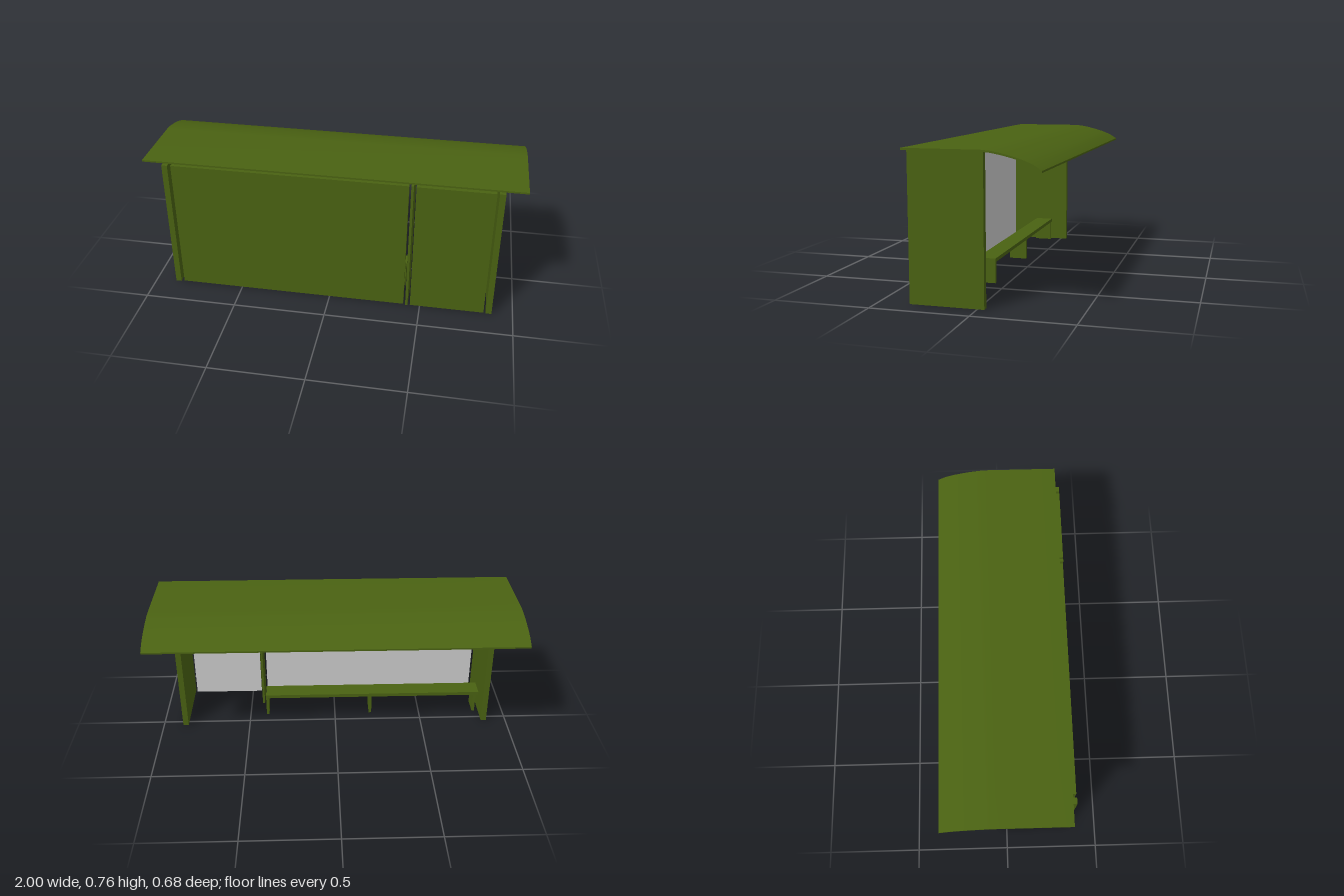
import * as THREE from 'three';
import { toCreasedNormals } from 'three/addons/utils/BufferGeometryUtils.js';

export function createModel() {
  const group = new THREE.Group();
  const olive = new THREE.MeshStandardMaterial({ color: 0x4a6212 });
  const grey = new THREE.MeshStandardMaterial({ color: 0xcccccc });

  // Box given by its limits on each axis
  function box(name, [x0, x1], [y0, y1], [z0, z1], material = olive) {
    const mesh = new THREE.Mesh(new THREE.BoxGeometry(x1 - x0, y1 - y0, z1 - z0), material);
    mesh.position.set((x0 + x1) / 2, (y0 + y1) / 2, (z0 + z1) / 2);
    mesh.name = name;
    group.add(mesh);
  }

  // Side walls
  const wallTop = 0.747;
  box('leftWall', [0.857, 0.888], [0, wallTop], [-0.035, 0.34]);
  box('rightWall', [-0.888, -0.857], [0, wallTop], [-0.035, 0.34]);

  // Long panels, with a grey inner face
  const panel = [olive, olive, olive, olive, olive, grey];
  box('widePanel', [-0.84, 0.41], [0.003, wallTop], [0.31, 0.337], panel);
  box('narrowPanel', [0.447, 0.845], [0.003, wallTop], [0.313, 0.34], panel);

  // Fin between the panels
  box('middlePost', [0.421, 0.434], [0, 0.75], [0.18, 0.34]);

  // Bench on three plank legs
  box('benchSeat', [-0.85, 0.405], [0.113, 0.133], [0.063, 0.165]);
  for (const x of [-0.835, -0.217, 0.39]) {
    box('benchLeg', [x, x + 0.015], [0, 0.113], [0.063, 0.165]);
  }

  // Roof sheet: flat, then curving down; section runs along -z
  const top = [[-0.32, 0.758], [0.06, 0.758], [0.1, 0.755], [0.15, 0.746], [0.2, 0.734],
    [0.25, 0.719], [0.3, 0.699], [0.34, 0.673]];
  const under = top.map(([u, y]) => [u, y - 0.009]).reverse();
  const section = new THREE.Shape([...top, ...under].map(([u, y]) => new THREE.Vector2(u, y)));
  const sheet = new THREE.ExtrudeGeometry(section, { depth: 2, bevelEnabled: false });
  sheet.rotateY(Math.PI / 2).translate(-1, 0, 0);
  const roof = new THREE.Mesh(toCreasedNormals(sheet, 0.6), olive);
  roof.name = 'roof';
  group.add(roof);

  return group;
}
